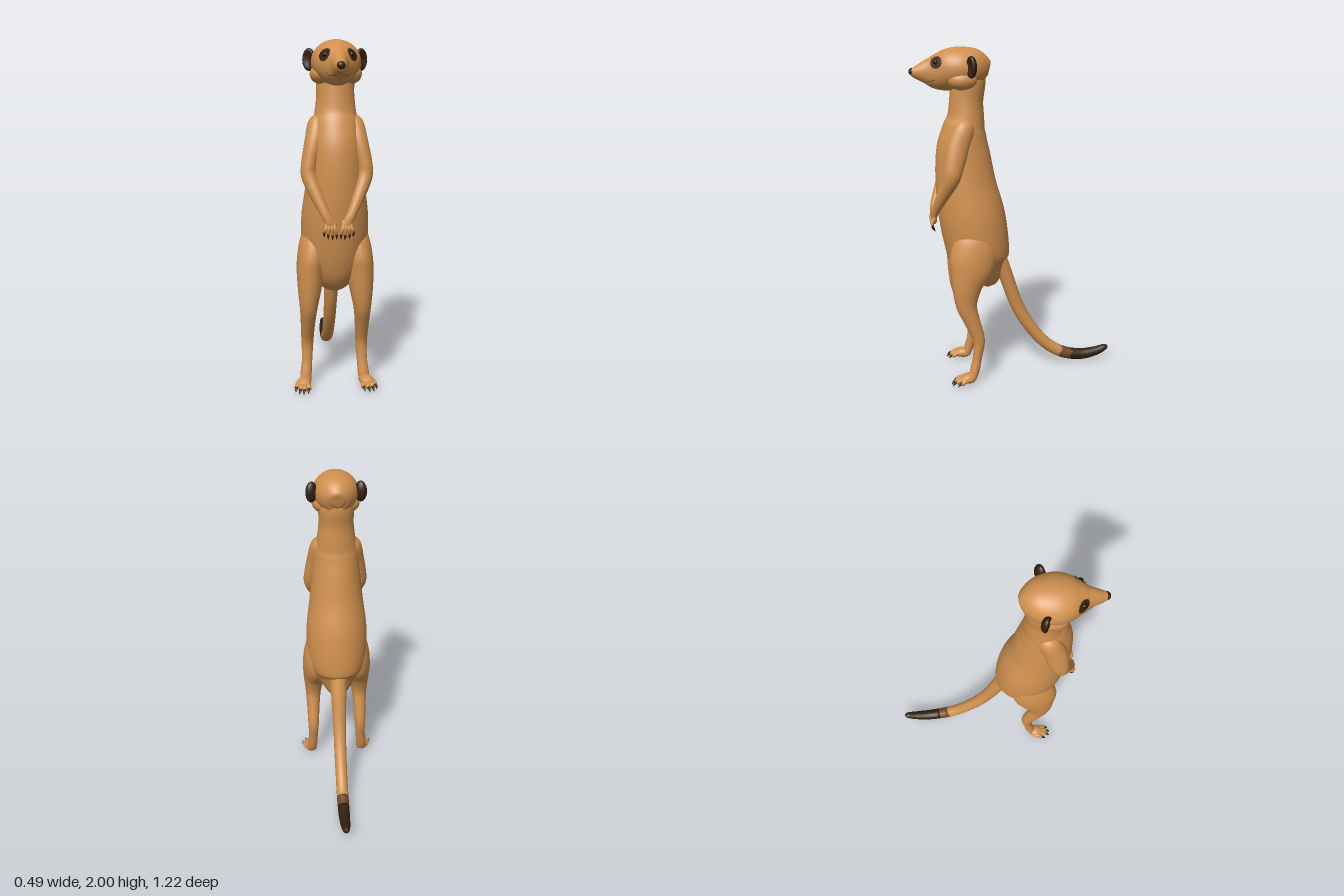
import * as THREE from 'three';

const mat = (name, color, side = THREE.FrontSide) => {
  const m = new THREE.MeshStandardMaterial({ color, side });
  m.name = name;
  return m;
};

// Smooth elliptical sweep: sections are [x, y, z, sideRadius, depthRadius]
function sweepSurface(sections, s = 1) {
  const path = new THREE.CatmullRomCurve3(
    sections.map(p => new THREE.Vector3(p[0] * s, p[1], p[2])), false, 'catmullrom');
  const radii = new THREE.CatmullRomCurve3(
    sections.map(p => new THREE.Vector3(p[3], p[4] ?? p[3], 0)), false, 'catmullrom');
  return (t, a) => {
    const T = path.getTangent(t), r = radii.getPoint(t);
    const U = new THREE.Vector3(1, 0, 0).addScaledVector(T, -T.x).normalize();
    const V = new THREE.Vector3().crossVectors(T, U);
    return path.getPoint(t)
      .addScaledVector(U, Math.max(r.x, 0.001) * Math.cos(a))
      .addScaledVector(V, Math.max(r.y, 0.001) * Math.sin(a));
  };
}

function buildGeometry(pos, idx) {
  const g = new THREE.BufferGeometry();
  g.setAttribute('position', new THREE.Float32BufferAttribute(pos, 3));
  g.setIndex(idx);
  g.computeVertexNormals();
  return g;
}

// Closed skin over a sweep surface between t0 and t1
function skin(surface, rings, sides, t0 = 0, t1 = 1) {
  const pos = [], idx = [];
  for (let i = 0; i <= rings; i++)
    for (let j = 0; j < sides; j++)
      pos.push(...surface(t0 + (t1 - t0) * i / rings, j / sides * Math.PI * 2).toArray());
  for (let i = 0; i < rings; i++)
    for (let j = 0; j < sides; j++) {
      const a = i * sides + j, b = i * sides + (j + 1) % sides;
      idx.push(a, b, a + sides, b, b + sides, a + sides);
    }
  // End caps
  const last = rings * sides;
  for (let j = 1; j < sides - 1; j++) idx.push(0, j + 1, j, last, last + j, last + j + 1);
  return buildGeometry(pos, idx);
}

// Thin ragged patch lying just above a sweep surface
function patch(surface, t, a, dt, da) {
  const n = 32, rings = 5, pos = [], idx = [];
  const at = (tt, aa) => {
    const p = surface(tt, aa);
    const du = surface(tt, aa + 0.01).sub(p), dv = surface(tt + 0.005, aa).sub(p);
    return p.addScaledVector(du.cross(dv).normalize(), 0.004);
  };
  for (let k = 0; k <= rings; k++)
    for (let j = 0; j < n; j++) {
      const q = j / n * Math.PI * 2;
      const r = k / rings * (k === rings && j % 2 ? 0.9 : 1);
      pos.push(...at(t + dt * r * Math.cos(q), a + da * r * Math.sin(q)).toArray());
    }
  for (let k = 0; k < rings; k++)
    for (let j = 0; j < n; j++) {
      const p = k * n + j, q = k * n + (j + 1) % n;
      idx.push(p, p + n, q, q, p + n, q + n);
    }
  return buildGeometry(pos, idx);
}

export function createModel() {
  const fur = mat('tanFur', 0xd0904f);
  const brown = mat('brownFur', 0x6e4729);
  const dark = mat('darkFur', 0x33200f);
  const patchMat = mat('eyePatchFur', 0x38220f, THREE.DoubleSide);
  const black = mat('eyeBlack', 0x1c120a);

  const model = new THREE.Group();
  model.name = 'standingAnimal';
  const add = (name, geometry, material, parent = model) => {
    const m = new THREE.Mesh(geometry, material);
    m.name = name;
    parent.add(m);
    return m;
  };
  const ball = (name, material, p, r, parent) => {
    const m = add(name, new THREE.SphereGeometry(1, 24, 16), material, parent);
    m.position.set(...p);
    m.scale.set(...r);
    return m;
  };
  const limb = (name, sections, s, material, parent, rings = 30, sides = 20) =>
    add(name, skin(sweepSurface(sections, s), rings, sides), material, parent);

  // Torso and neck
  limb('torso', [
    [0, 0.557, 0.17, 0.02, 0.02], [0, 0.6, 0.175, 0.075, 0.085], [0, 0.7, 0.215, 0.14, 0.165],
    [0, 0.8, 0.23, 0.182, 0.19], [0, 1.0, 0.262, 0.192, 0.198], [0, 1.2, 0.297, 0.168, 0.18],
    [0, 1.4, 0.312, 0.147, 0.158], [0, 1.52, 0.305, 0.134, 0.13], [0, 1.6, 0.292, 0.117, 0.108],
    [0, 1.7, 0.287, 0.105, 0.098], [0, 1.8, 0.275, 0.105, 0.1], [0, 1.87, 0.27, 0.09, 0.09],
  ], 1, fur, model, 60, 40);

  // Head tapering into the snout
  const head = sweepSurface([
    [0, 1.865, 0.157, 0.03, 0.035], [0, 1.87, 0.175, 0.07, 0.075], [0, 1.877, 0.23, 0.113, 0.11],
    [0, 1.879, 0.3, 0.134, 0.121], [0, 1.876, 0.36, 0.132, 0.12], [0, 1.865, 0.42, 0.108, 0.11],
    [0, 1.861, 0.47, 0.074, 0.094], [0, 1.861, 0.51, 0.049, 0.071], [0, 1.86, 0.56, 0.034, 0.042],
    [0, 1.861, 0.595, 0.02, 0.022],
  ]);
  add('head', skin(head, 50, 40), fur);
  ball('nose', dark, [0, 1.863, 0.59], [0.022, 0.022, 0.02]);

  // Tail in three colour bands
  const tail = sweepSurface([
    [0, 0.78, 0.13, 0.06, 0.06], [0, 0.64, 0.068, 0.05, 0.045], [0, 0.43, -0.005, 0.041],
    [0, 0.28, -0.085, 0.039], [0, 0.15, -0.19, 0.037], [0, 0.075, -0.3, 0.037],
    [0, 0.046, -0.42, 0.035], [0, 0.057, -0.525, 0.029], [0, 0.08, -0.59, 0.02],
    [0, 0.088, -0.61, 0.006],
  ]);
  add('tailBase', skin(tail, 40, 24, 0, 0.546), fur);
  add('tailBand', skin(tail, 6, 24, 0.546, 0.607), brown);
  add('tailTip', skin(tail, 24, 24, 0.607, 1), dark);

  for (const s of [1, -1]) {
    const side = s > 0 ? 'left' : 'right';
    const half = new THREE.Group();
    half.name = side + 'Side';
    model.add(half);
    const angle = a => (s > 0 ? a : Math.PI - a);

    // Cheek, eye and mouth
    ball(side + 'Cheek', fur, [0.082 * s, 1.817, 0.315], [0.06, 0.055, 0.085], half);
    add(side + 'EyePatch', patch(head, 0.633, angle(0.6), 0.085, 0.4), patchMat, half);
    ball(side + 'Eye', black, head(0.635, angle(0.6)).toArray(), [0.015, 0.015, 0.015], half);
    const lip = new THREE.CatmullRomCurve3(
      [[0.94, -1.57], [0.83, -0.9], [0.72, -0.62], [0.667, -0.42]].map(([t, a]) => head(t, angle(a))));
    add(side + 'Mouth', new THREE.TubeGeometry(lip, 16, 0.0025, 6), brown, half);

    // Ear: oval shell hollowed on its front face
    const earGeo = new THREE.SphereGeometry(1, 28, 20);
    const ep = earGeo.attributes.position;
    for (let i = 0; i < ep.count; i++) {
      const d = Math.hypot(ep.getX(i), ep.getY(i));
      if (ep.getZ(i) > 0) ep.setZ(i, ep.getZ(i) * (0.1 + 0.9 * d * d));
    }
    earGeo.computeVertexNormals();
    const ear = add(side + 'Ear', earGeo, dark, half);
    ear.position.set(0.143 * s, 1.893, 0.27);
    ear.scale.set(0.038, 0.061, 0.029);
    ear.rotation.y = 0.5 * s;

    // Arm
    limb(side + 'Arm', [
      [0.085, 1.6, 0.295, 0.02, 0.03], [0.1, 1.55, 0.31, 0.052, 0.06], [0.123, 1.45, 0.35, 0.052, 0.066],
      [0.15, 1.34, 0.378, 0.045, 0.058], [0.153, 1.27, 0.395, 0.043, 0.05], [0.12, 1.18, 0.435, 0.036, 0.04],
      [0.077, 1.085, 0.478, 0.027, 0.027], [0.052, 1.035, 0.492, 0.027, 0.02], [0.046, 1.0, 0.497, 0.02, 0.014],
    ], s, fur, half, 40, 24);

    // Hand with clawed fingers
    ball(side + 'Palm', fur, [0.046 * s, 1.015, 0.493], [0.036, 0.035, 0.017], half);
    [[0.08, 0.978], [0.058, 0.968], [0.034, 0.962], [0.012, 0.966]].forEach(([x, y], i) => {
      const x0 = 0.046 + (x - 0.046) * 0.55;
      limb(side + 'Finger' + i, [[x0, 1.02, 0.498, 0.009], [(x0 + x) / 2, 0.995, 0.508, 0.01],
        [x, y, 0.503, 0.007]], s, fur, half, 8, 10);
      limb(side + 'FingerClaw' + i, [[x, y + 0.008, 0.504, 0.006], [x, y - 0.01, 0.502, 0.006],
        [x * 0.98, y - 0.03, 0.49, 0.001]], s, dark, half, 8, 8);
    });

    // Leg
    limb(side + 'Leg', [
      [0.1, 1.0, 0.28, 0.03, 0.05], [0.118, 0.9, 0.265, 0.075, 0.115], [0.138, 0.76, 0.28, 0.082, 0.137],
      [0.148, 0.62, 0.315, 0.07, 0.092], [0.155, 0.5, 0.322, 0.052, 0.064], [0.158, 0.4, 0.293, 0.043, 0.049],
      [0.16, 0.27, 0.252, 0.036, 0.037], [0.163, 0.16, 0.262, 0.031, 0.028], [0.17, 0.08, 0.279, 0.033, 0.029],
      [0.175, 0.025, 0.295, 0.033, 0.024],
    ], s, fur, half, 50, 24);

    // Foot with clawed toes
    limb(side + 'Foot', [
      [0.172, 0.024, 0.273, 0.012, 0.01], [0.174, 0.03, 0.287, 0.032, 0.028],
      [0.185, 0.033, 0.325, 0.041, 0.032], [0.193, 0.027, 0.36, 0.035, 0.021], [0.195, 0.022, 0.375, 0.015, 0.01],
    ], s, fur, half, 20, 20);
    [[0.158, 0.385], [0.185, 0.397], [0.209, 0.392], [0.23, 0.362]].forEach(([x, z], i) => {
      const x0 = 0.187 + (x - 0.187) * 0.6;
      limb(side + 'Toe' + i, [[x0, 0.028, z - 0.06, 0.012], [(x0 + x) / 2, 0.032, z - 0.025, 0.015],
        [x, 0.02, z, 0.013], [x, 0.018, z + 0.006, 0.004]], s, fur, half, 12, 12);
      limb(side + 'ToeClaw' + i, [[x, 0.024, z - 0.004, 0.008], [x + 0.004, 0.02, z + 0.012, 0.008],
        [x + 0.008, 0.003, z + 0.027, 0.001]], s, dark, half, 8, 8);
    });
  }
  return model;
}
